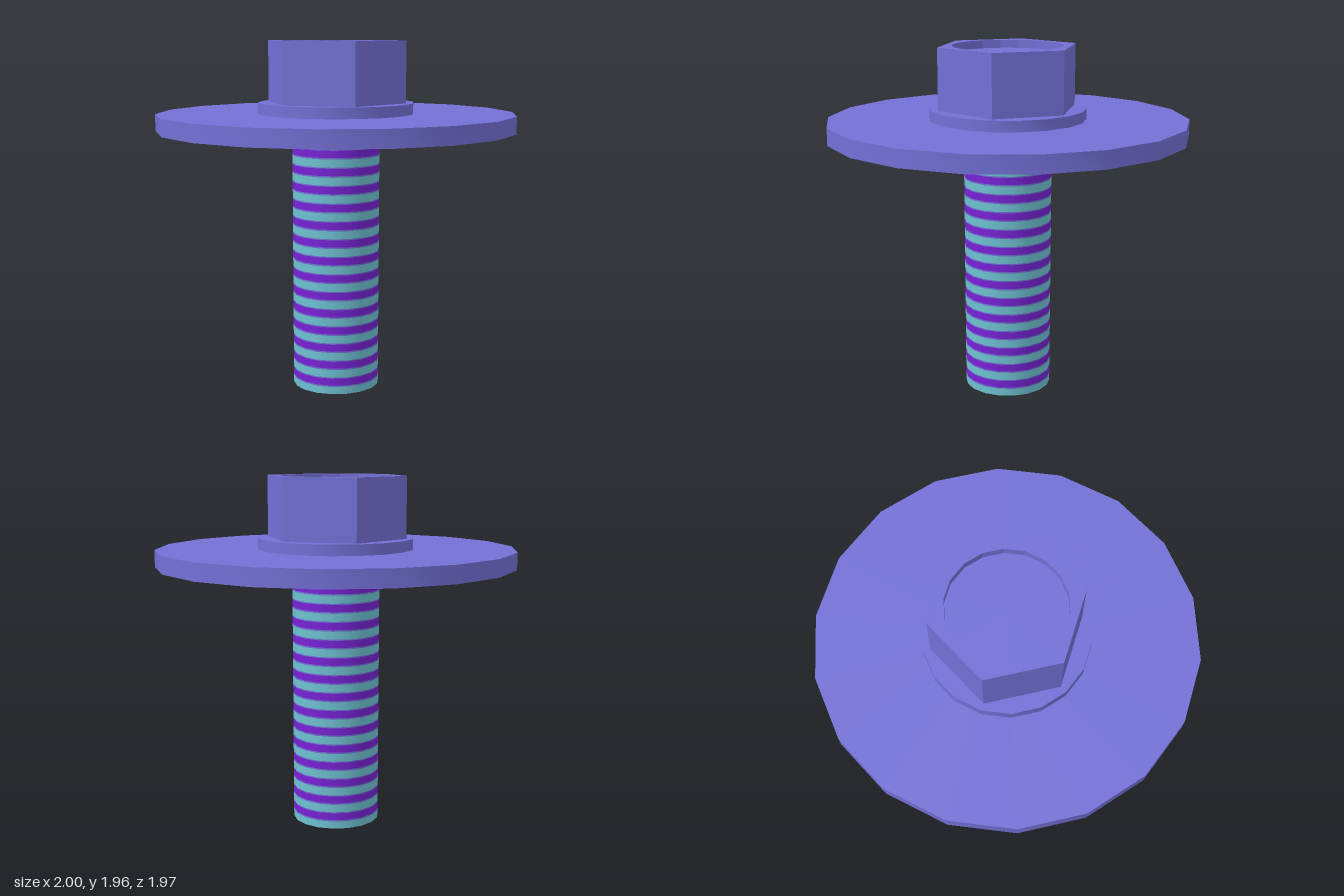
import * as THREE from 'three';
import { toCreasedNormals } from 'three/addons/utils/BufferGeometryUtils.js';

const SIDES = 18;

export function createModel() {
  const group = new THREE.Group();
  const paint = (name, color) => {
    const m = new THREE.MeshStandardMaterial({ color });
    m.name = name;
    return m;
  };
  const blue = paint('blue violet', 0x7370d6);
  const purple = paint('purple', 0x7722d6);
  const teal = paint('teal', 0x6ec2d2);

  const add = (name, geometry, material, y = 0) => {
    const mesh = new THREE.Mesh(geometry, material);
    mesh.name = name;
    mesh.position.y = y;
    group.add(mesh);
    return mesh;
  };
  // Turned part: profile of [radius, height], bottom to top, with corners on the x axis
  const turned = (profile) => toCreasedNormals(
    new THREE.LatheGeometry(profile.map(([r, y]) => new THREE.Vector2(r, y)), SIDES, Math.PI / 2), 0.6);
  const polygon = (radius, n, PathClass) => new PathClass(Array.from({ length: n }, (_, i) => {
    const a = (i / n) * Math.PI * 2;
    return new THREE.Vector2(Math.cos(a) * radius, Math.sin(a) * radius);
  }));

  // Wide washer with a hole slightly larger than the shaft
  add('washer', turned([[0.27, 1.46], [1, 1.46], [1, 1.555], [0.27, 1.555], [0.27, 1.46]]), blue);

  // Flange under the head
  add('flange', turned([[0, 1.555], [0.434, 1.555], [0.434, 1.615], [0, 1.615]]), blue);

  // Hexagonal head with a shallow round recess
  const hex = polygon(0.396, 6, THREE.Shape);
  hex.holes.push(polygon(0.307, SIDES, THREE.Path));
  const head = new THREE.ExtrudeGeometry(hex, { depth: 0.34, bevelEnabled: false });
  head.rotateX(-Math.PI / 2);
  add('hexHead', head, blue, 1.615);
  const floor = new THREE.CircleGeometry(0.307, SIDES);
  floor.rotateX(-Math.PI / 2);
  add('headRecessFloor', floor, blue, 1.91);

  // Threaded shaft: repeating teal, blue, purple, blue bands
  const shaftRadius = 0.245, pitch = 0.0985, shaftTop = 1.556;
  const band = (name, from, to, material) => {
    const top = Math.min(to, shaftTop), bottom = Math.max(from, 0);
    if (top <= bottom) return;
    add(name, new THREE.CylinderGeometry(shaftRadius, shaftRadius, top - bottom, SIDES, 1, true, Math.PI / 2),
      material, (top + bottom) / 2);
  };
  for (let i = 0; i < 16; i++) {
    const y = i * pitch + 0.02;
    band('threadTeal', y - 0.022, y + 0.022, teal);
    band('threadGap', y + 0.022, y + 0.03, blue);
    band('threadPurple', y + 0.03, y + 0.07, purple);
    band('threadGap', y + 0.07, y + pitch - 0.022, blue);
  }

  // Shaft end: core disc inside a two-coloured thread rim, facing down
  const down = (geometry) => geometry.rotateX(Math.PI / 2);
  add('shaftEnd', down(new THREE.CircleGeometry(0.19, SIDES)), blue);
  add('threadEndPurple', down(new THREE.RingGeometry(0.19, shaftRadius, SIDES / 2, 1, 0, Math.PI)), purple);
  add('threadEndTeal', down(new THREE.RingGeometry(0.19, shaftRadius, SIDES / 2, 1, Math.PI, Math.PI)), teal);

  return group;
}
